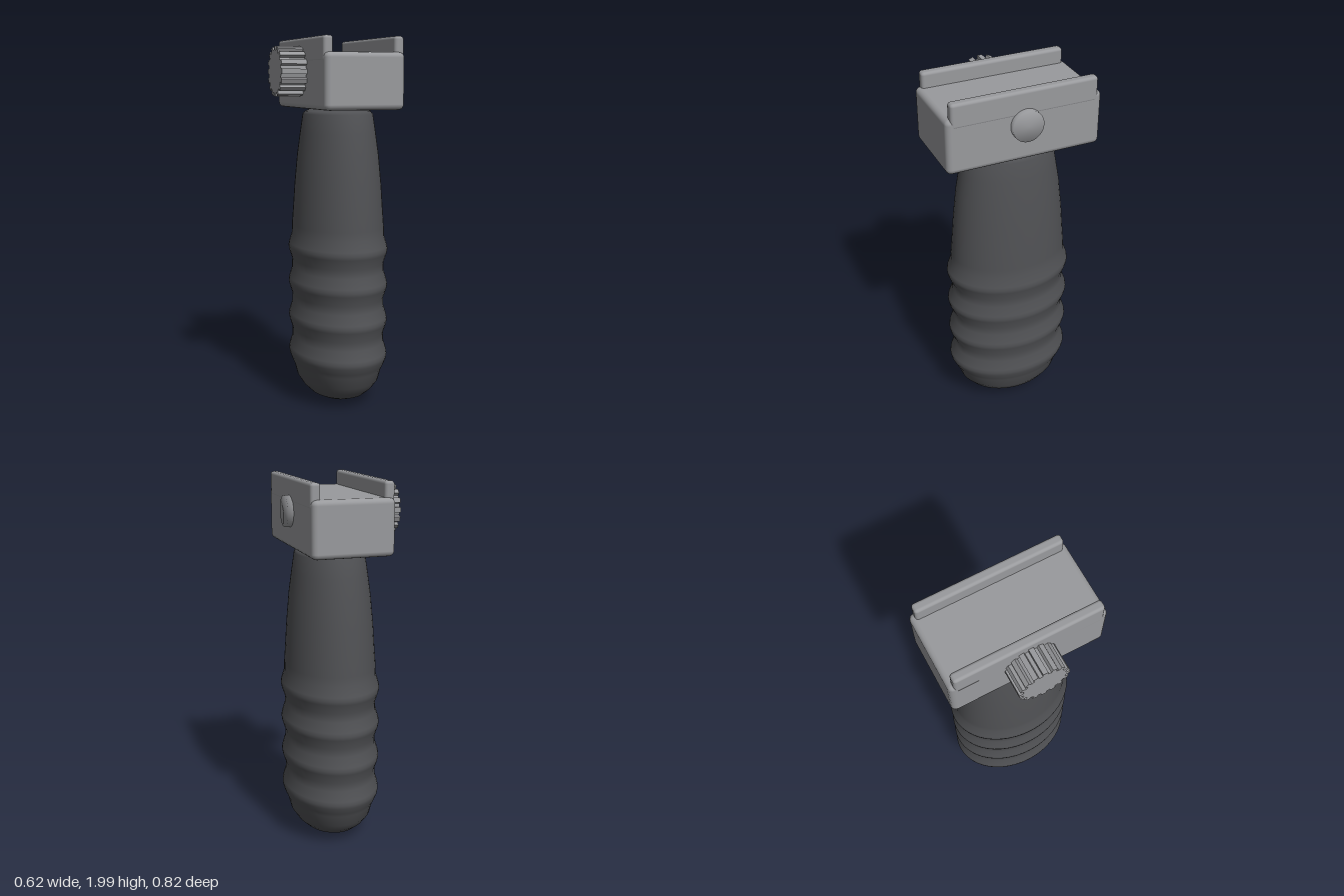
import * as THREE from 'three';
import { RoundedBoxGeometry } from 'three/addons/geometries/RoundedBoxGeometry.js';

const CX = 0.045; // centre line of grip and mount
const KNOB_Y = 1.825;

function add(parent, name, geometry, color) {
  const mesh = new THREE.Mesh(geometry, new THREE.MeshStandardMaterial({ color }));
  mesh.name = name;
  parent.add(mesh);
  return mesh;
}

// Turned profile with an oval cross-section and finger ridges
function gripGeometry() {
  const profile = [[0, 0.008], [0.06, 0.01], [0.125, 0.022], [0.2, 0.052], [0.25, 0.09], [0.288, 0.135], [0.31, 0.2], [0.325, 0.225]];
  for (let i = 0; i < 4; i++) {
    const y = 0.28 + i * 0.197;
    profile.push([0.342, y - 0.02], [0.346, y], [0.342, y + 0.02], [0.321, y + 0.075], [0.32, y + 0.122]);
  }
  profile.push([0.31, 1.1], [0.3, 1.22], [0.281, 1.38], [0.26, 1.5], [0.241, 1.6], [0.225, 1.615], [0.17, 1.632], [0, 1.64]);
  const g = new THREE.LatheGeometry(profile.map(([r, y]) => new THREE.Vector2(r, y)), 48);
  return g.scale(0.76, 1, 1);
}

// Toothed outline extruded along the screw axis
function knobGeometry() {
  const teeth = 16, shape = new THREE.Shape();
  for (let i = 0; i < teeth; i++) {
    [[-0.3, 0.112], [-0.25, 0.132], [0.25, 0.132], [0.3, 0.112]].forEach(([offset, r], k) => {
      const a = ((i + offset) / teeth) * Math.PI * 2;
      const x = r * Math.cos(a), y = r * Math.sin(a);
      if (i + k === 0) shape.moveTo(x, y);
      else shape.lineTo(x, y);
    });
  }
  shape.closePath();
  return new THREE.ExtrudeGeometry(shape, { depth: 0.14, bevelEnabled: false }).rotateY(-Math.PI / 2);
}

export function createModel() {
  const model = new THREE.Group();
  model.name = 'verticalGrip';
  const dark = 0x505154, grey = 0x999a9d;

  add(model, 'grip', gripGeometry(), dark).position.x = CX;

  // Rail mount
  const mount = new THREE.Group();
  mount.name = 'mount';
  model.add(mount);
  add(mount, 'mountBody', new RoundedBoxGeometry(0.43, 0.29, 0.82, 2, 0.028), grey).position.set(CX, 1.775, 0);
  for (const [name, side] of [['leftRail', 1], ['rightRail', -1]]) {
    const rail = add(mount, name, new RoundedBoxGeometry(0.052, 0.13, 0.77, 2, 0.016), grey);
    rail.position.set(CX + side * 0.1905, 1.935, 0);
  }

  // Clamp screw: ribbed knob on one side, round head on the other
  add(mount, 'clampKnob', knobGeometry(), grey).position.set(-0.168, KNOB_Y, 0);
  const head = [[0.082, -0.02], [0.082, 0.03], [0, 0.03]].map(([r, y]) => new THREE.Vector2(r, y));
  const screw = add(mount, 'screwHead', new THREE.LatheGeometry(head, 32), grey);
  screw.rotation.z = -Math.PI / 2;
  screw.position.set(0.26, KNOB_Y, 0);

  return model;
}
